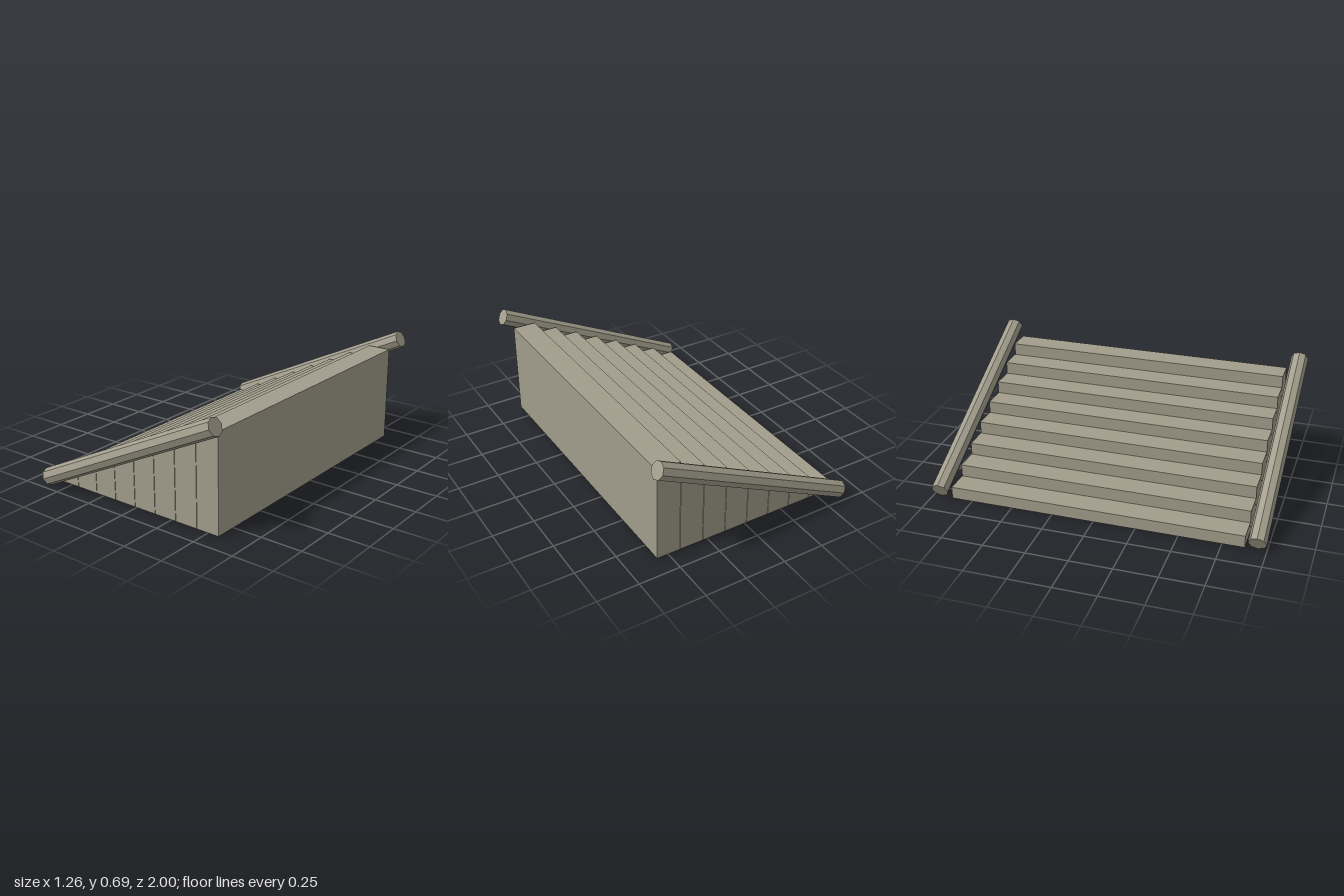
import * as THREE from 'three';

const STEPS = 8;
const LEFT = -0.595, RUN = 0.1457, RISE = 0.0731;
const DEPTH = 1.755, GAP = 0.003;

export function createModel() {
  const model = new THREE.Group();
  model.name = 'staircase';
  const stone = new THREE.MeshStandardMaterial({ color: 0xa19c8b });
  stone.name = 'warm grey stone';
  stone.flatShading = true;

  // Solid steps, each a full-height block standing on the ground
  for (let i = 0; i < STEPS; i++) {
    const height = RISE * (i + 1);
    const step = new THREE.Mesh(new THREE.BoxGeometry(RUN - GAP, height, DEPTH), stone);
    step.name = `step${i + 1}`;
    step.position.set(LEFT + RUN * (i + 0.5), height / 2, 0);
    model.add(step);
  }

  // Sloping eight-sided rails along both sides
  const low = new THREE.Vector2(-0.611, 0.049);
  const high = new THREE.Vector2(0.608, 0.643);
  const slope = high.clone().sub(low);
  for (const side of [1, -1]) {
    const rail = new THREE.Mesh(new THREE.CylinderGeometry(0.052, 0.052, slope.length(), 8), stone);
    rail.name = side > 0 ? 'frontRail' : 'backRail';
    rail.position.set((low.x + high.x) / 2, (low.y + high.y) / 2, side * 0.948);
    rail.rotation.z = slope.angle() - Math.PI / 2;
    model.add(rail);
  }
  return model;
}
